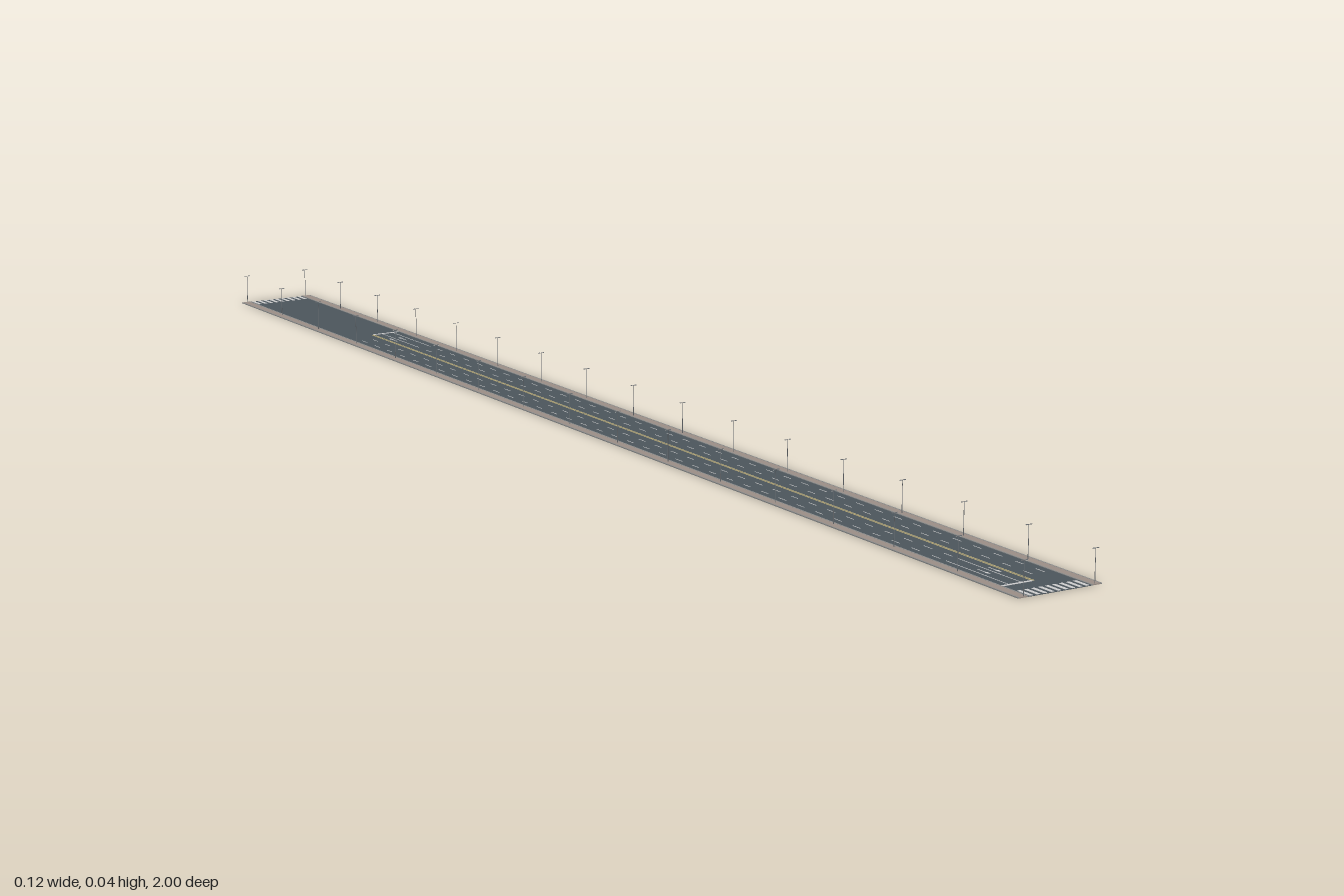
import * as THREE from 'three';

const mat = (color) => new THREE.MeshStandardMaterial({ color });
const asphalt = mat(0x4b555c), paving = mat(0x9a8e86), kerbStone = mat(0x8a8c8c);
const white = mat(0xc4c8c8), yellow = mat(0xc2b27c), metal = mat(0x6c7074), lampGlass = mat(0xd8d8d0);

const ROAD = 0.0006;   // height of the road surface
const PAINT = 0.0003;  // thickness of the markings
const HALF = 0.045;    // half the width of the carriageway

export function createModel() {
  const group = new THREE.Group();

  // Box given by its centre in plan, its base height and its size
  function box(name, material, x, y, z, w, h, d, parent = group) {
    const mesh = new THREE.Mesh(new THREE.BoxGeometry(w, h, d), material);
    mesh.position.set(x, y + h / 2, z);
    mesh.name = name;
    parent.add(mesh);
    return mesh;
  }
  // Painted strip lying on the road
  const paint = (name, x, z, w, d, material = white) => box(name, material, x, ROAD, z, w, PAINT, d);

  box('roadSurface', asphalt, 0, 0, 0, HALF * 2, ROAD, 2);

  // Pavements with an inner and an outer kerb
  for (const s of [-1, 1]) {
    box('pavement', paving, s * 0.0525, 0, 0, 0.011, 0.0012, 2);
    box('innerKerb', kerbStone, s * 0.046, 0, 0, 0.002, 0.0013, 2);
    box('outerKerb', kerbStone, s * 0.059, 0, 0, 0.002, 0.0013, 2);
  }

  // Zebra crossings at both ends
  for (const s of [-1, 1]) {
    for (let i = 0; i < 9; i++) paint('crossingBar', -0.04 + i * 0.01, s * 0.987, 0.005, 0.024);
  }

  // Double centre line and stop lines
  for (const s of [-1, 1]) paint('centreLine', s * 0.0014, 0.14, 0.0014, 1.62, yellow);
  paint('frontStopLine', -0.0225, 0.95, 0.043, 0.004);
  paint('backStopLine', 0.0225, -0.67, 0.043, 0.004);

  // Lane lines: solid in front of the stop line, dashed elsewhere
  const laneLines = [0.016, 0.034];
  for (const x of laneLines) {
    paint('solidLaneLine', -x, 0.89, 0.001, 0.12);
    paint('solidLaneLine', x, -0.61, 0.001, 0.12);
    for (let z = -0.63; z < 0.82; z += 0.04) paint('laneDash', -x, z, 0.001, 0.016);
    for (let z = -0.52; z < 0.94; z += 0.04) paint('laneDash', x, z, 0.001, 0.016);
  }

  // Direction arrows ahead of the stop lines
  const arrow = new THREE.Shape([
    [-0.0006, -0.012], [0.0006, -0.012], [0.0006, 0.004], [0.0025, 0.004],
    [0, 0.013], [-0.0025, 0.004], [-0.0006, 0.004],
  ].map(([x, y]) => new THREE.Vector2(x, y)));
  const arrowGeometry = new THREE.ExtrudeGeometry(arrow, { depth: PAINT, bevelEnabled: false });
  arrowGeometry.rotateX(-Math.PI / 2);
  for (const s of [-1, 1]) {
    for (const x of [0.009, 0.025]) {
      const mesh = new THREE.Mesh(arrowGeometry, white);
      mesh.name = 'laneArrow';
      mesh.position.set(s * x, ROAD, s < 0 ? 0.89 : -0.62);
      if (s < 0) mesh.rotation.y = Math.PI;
      group.add(mesh);
    }
  }

  // Street lamps along both pavements
  const postGeometry = new THREE.CylinderGeometry(0.0003, 0.0005, 0.0425, 6);
  for (const s of [-1, 1]) {
    for (let i = -8; i <= 8; i++) {
      const lamp = new THREE.Group();
      lamp.name = 'streetLamp';
      lamp.position.set(s * 0.051, 0.001, THREE.MathUtils.clamp(i * 0.125, -0.998, 0.998));
      const post = new THREE.Mesh(postGeometry, metal);
      post.name = 'lampPost';
      post.position.y = 0.02125;
      lamp.add(post);
      box('lampArm', metal, 0, 0.0418, 0, 0.007, 0.0005, 0.0005, lamp);
      for (const side of [-1, 1]) {
        box('lampHead', metal, side * 0.0032, 0.0418, 0, 0.0026, 0.0008, 0.0012, lamp);
        box('lampGlass', lampGlass, side * 0.0032, 0.0415, 0, 0.002, 0.0003, 0.0009, lamp);
      }
      group.add(lamp);
    }
  }
  return group;
}
